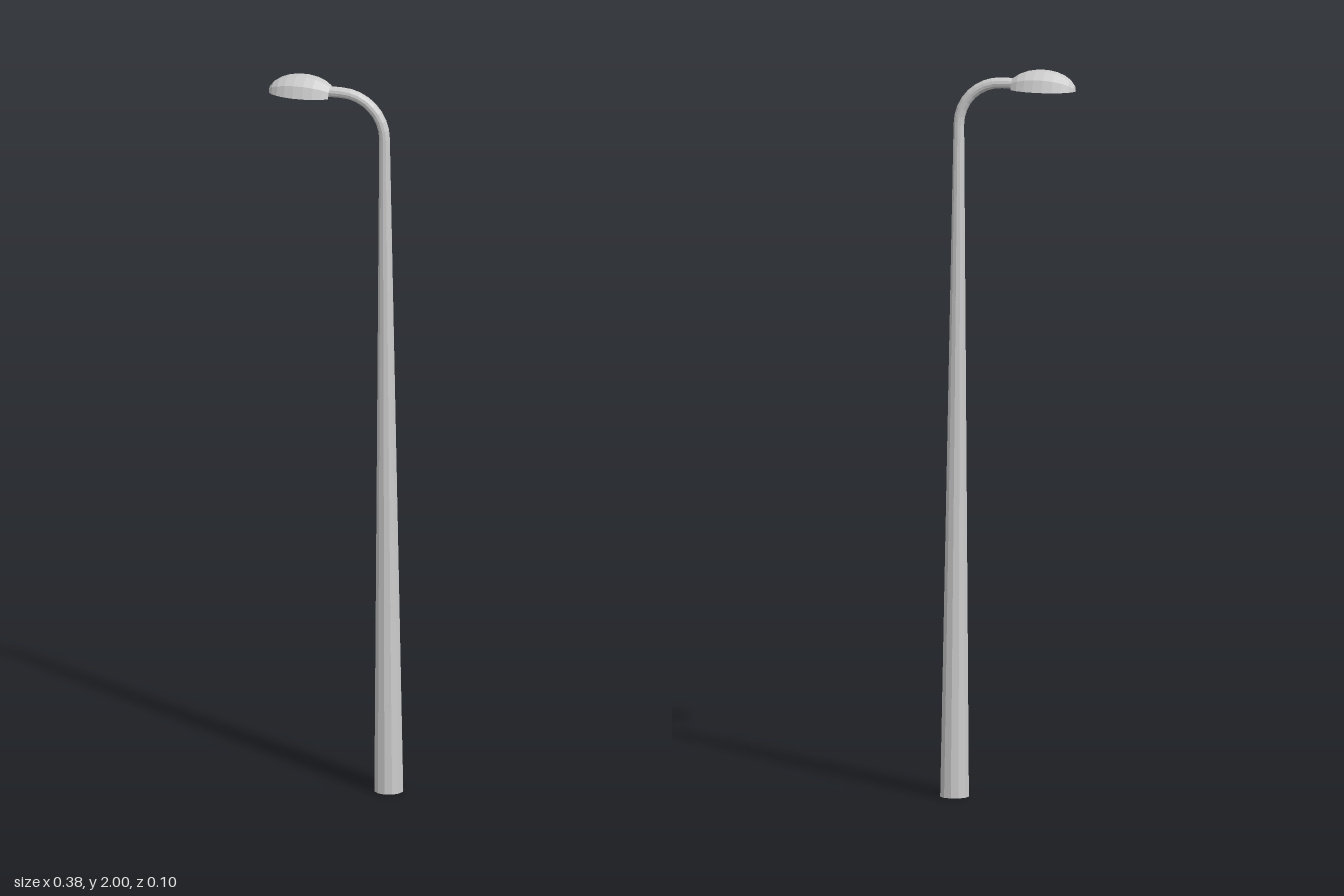
import * as THREE from 'three';

const material = new THREE.MeshStandardMaterial({ color: 0xcccccc, flatShading: true, side: THREE.DoubleSide });

// Skins a run of cross-sections. Each station: centre x, y, heading (radians, in the
// xy plane), in-plane radius rn and z radius rz. The section sweeps from a0 to a1.
function loft(name, stations, sides, a0, a1) {
  const pos = [], index = [], row = sides + 1;
  stations.forEach(({ x, y, heading, rn, rz }, s) => {
    const nx = Math.sin(heading), ny = -Math.cos(heading);
    for (let i = 0; i <= sides; i++) {
      const a = a0 + (a1 - a0) * i / sides;
      pos.push(x + nx * rn * Math.cos(a), y + ny * rn * Math.cos(a), rz * Math.sin(a));
      if (s > 0 && i < sides) {
        const p = (s - 1) * row + i, q = p + row;
        index.push(p, q, p + 1, p + 1, q, q + 1);
      }
    }
  });
  const geo = new THREE.BufferGeometry();
  geo.setAttribute('position', new THREE.Float32BufferAttribute(pos, 3));
  geo.setIndex(index);
  geo.computeVertexNormals();
  const mesh = new THREE.Mesh(geo, material);
  mesh.name = name;
  return mesh;
}

export function createModel() {
  const group = new THREE.Group();
  group.name = 'streetLamp';
  const up = Math.PI / 2, r = 0.0148, bend = 0.12, bx = 0.017, by = 1.841;

  // Tapered hollow pole, leaning slightly towards the lamp
  group.add(loft('pole', [
    { x: 0.149, y: 0, heading: up, rn: 0.04, rz: 0.04 },
    { x: bx + bend, y: by, heading: up, rn: r, rz: r },
  ], 12, 0, Math.PI * 2));

  // Curved arm: quarter bend, then a short level run into the lamp
  const arm = [];
  for (let i = 0; i <= 8; i++) {
    const a = up * i / 8;
    arm.push({ x: bx + bend * Math.cos(a), y: by + bend * Math.sin(a), heading: up + a, rn: r, rz: r });
  }
  arm.push({ x: -0.02, y: by + bend, heading: Math.PI, rn: r, rz: r });
  group.add(loft('arm', arm, 12, 0, Math.PI * 2));

  // Lamp hood: half ellipsoid shell, open below and cut off at the arm end
  const hood = [], cut = 2.57, steps = 9;
  for (let i = 0; i <= steps; i++) {
    const t = cut * (1 - i / steps), s = Math.sin(t);
    hood.push({ x: -0.094 - 0.095 * Math.cos(t), y: 1.947, heading: Math.PI, rn: 0.053 * s / Math.cos(Math.PI / 10), rz: 0.05 * s });
  }
  group.add(loft('lampHood', hood, 5, -up, up));
  return group;
}
